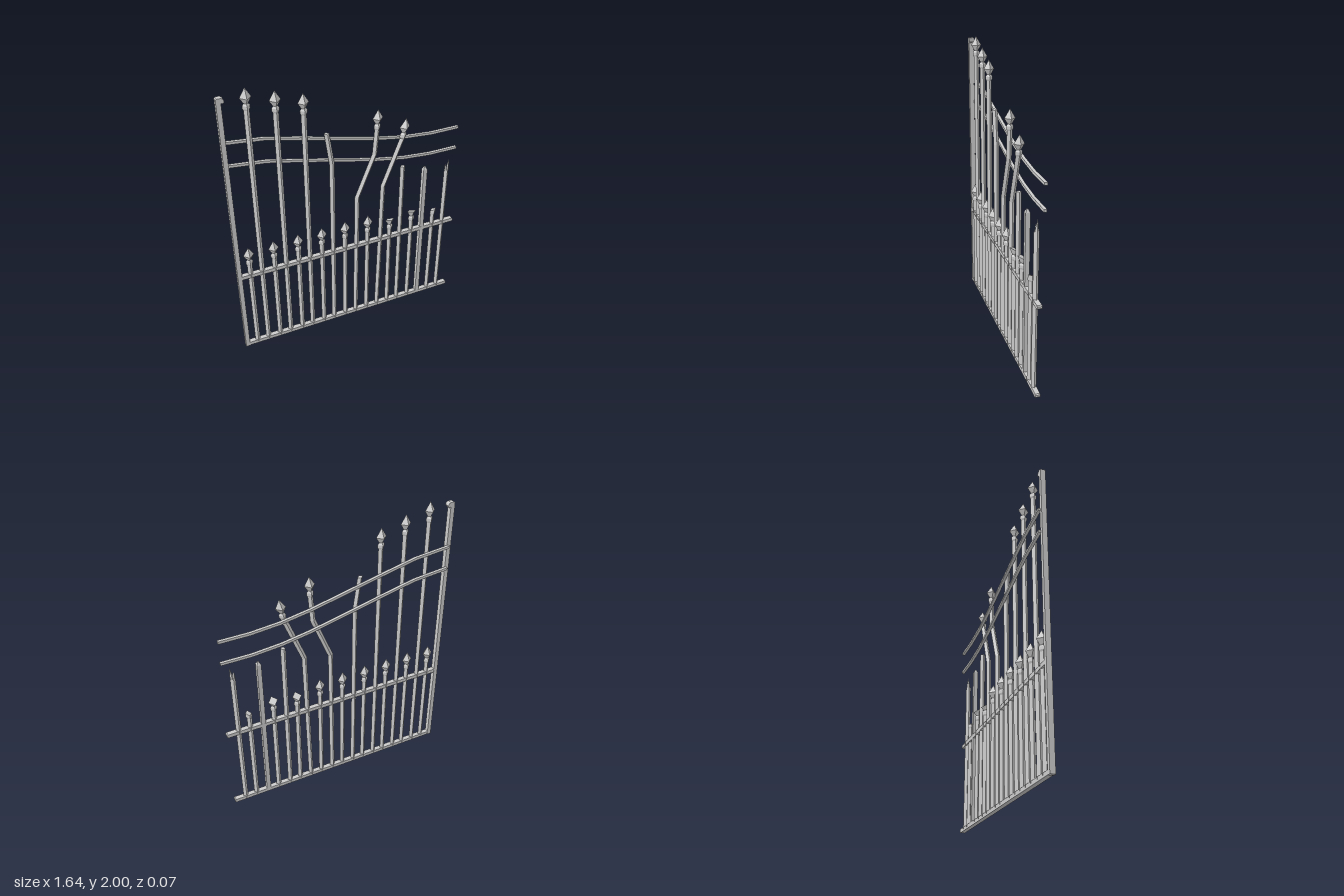
import * as THREE from 'three';

const metal = new THREE.MeshStandardMaterial({ color: 0xcccccc, flatShading: true });
const BAR = 0.018;

// Four-sided loft through rings { x, y, r, tx, tz }; tx and tz slope the ring along x and z.
function loft(rings, yaw = 0) {
  const pts = [];
  const corners = rings.map(({ x, y, r, tx = 0, tz = 0 }) => [0, 1, 2, 3].map(i => {
    const a = yaw + i * Math.PI / 2;
    const dx = r * Math.sin(a), dz = r * Math.cos(a);
    return [x + dx, y + dx * tx + dz * tz, dz];
  }));
  const quad = (a, b, c, d) => pts.push(...a, ...b, ...c, ...a, ...c, ...d);
  for (let k = 0; k + 1 < corners.length; k++) {
    const lo = corners[k], hi = corners[k + 1];
    for (let i = 0; i < 4; i++) {
      const j = (i + 1) % 4;
      quad(lo[i], lo[j], hi[j], hi[i]);
    }
  }
  const first = corners[0], last = corners[corners.length - 1];
  quad(first[3], first[2], first[1], first[0]);
  quad(last[0], last[1], last[2], last[3]);
  const g = new THREE.BufferGeometry();
  g.setAttribute('position', new THREE.Float32BufferAttribute(pts, 3));
  g.computeVertexNormals();
  return g;
}

// Collar, neck and spear head: [height above the bar end, radius]
const FINIAL = [[0, BAR], [0.012, 0.024], [0.03, 0.024], [0.043, 0.014], [0.08, 0.036], [0.14, 0.001]];

const finial = (x, y, lean = 0, count = FINIAL.length) =>
  FINIAL.slice(0, count).map(([h, r]) => ({ x: x + h * lean, y: y + h, r }));

const ring = (x, y, extra = {}) => ({ x, y, r: BAR, ...extra });

// Flat outline given thickness in z, centred on zMid
function plate(outline, depth, zMid) {
  const shape = new THREE.Shape(outline.map(([x, y]) => new THREE.Vector2(x, y)));
  const g = new THREE.ExtrudeGeometry(shape, { depth, bevelEnabled: false });
  return g.translate(0, 0, zMid - depth / 2);
}

export function createModel() {
  const gate = new THREE.Group();
  gate.name = 'brokenIronGate';
  const add = (name, geometry) => {
    const mesh = new THREE.Mesh(geometry, metal);
    mesh.name = name;
    gate.add(mesh);
  };

  // Hinge post with a small hooked top
  add('hingePost', plate([
    [-0.82, 0], [-0.79, 0], [-0.79, 1.945], [-0.785, 1.935], [-0.775, 1.938],
    [-0.77, 1.95], [-0.775, 1.962], [-0.787, 1.97], [-0.813, 1.97], [-0.82, 1.963],
  ], 0.034, 0));

  // Straight rails with chamfered free ends
  for (const [name, y] of [['bottomRail', 0.002], ['middleRail', 0.625]]) {
    add(name, plate([
      [-0.795, y], [0.81, y], [0.817, y + 0.007], [0.817, y + 0.02],
      [0.81, y + 0.027], [-0.795, y + 0.027],
    ], 0.032, 0));
  }

  // Two sagging rails behind the pickets
  const sag = [[-0.8, 1.663], [-0.55, 1.636], [-0.3, 1.578], [0, 1.504],
    [0.2, 1.457], [0.4, 1.421], [0.6, 1.403], [0.805, 1.403]];
  for (const [name, drop] of [['upperCurvedRail', 0], ['lowerCurvedRail', 0.16]]) {
    const top = sag.map(([x, y]) => [x, y - drop + 0.009]);
    const under = sag.map(([x, y]) => [x, y - drop - 0.009]).reverse();
    add(name, plate([...under.reverse(), ...top.reverse()], 0.02, -0.024));
  }

  // Intact short pickets
  for (let i = 0; i < 6; i++) {
    const x = -0.727 + i * 0.1717;
    add('shortPicket', loft([ring(x, 0.015), ...finial(x, 0.73)]));
  }

  // Short pickets whose heads have snapped off at a slant
  for (const [x, y, cut, tx] of [[0.303, 0.705, 0.08, 0.05], [0.475, 0.727, 0.08, -0.1]]) {
    add('snappedShortPicket', loft([ring(x, 0.015), ...finial(x, y, 0, 4),
      { x, y: y + cut, r: 0.034, tx, tz: 0.45 }]));
  }
  add('snappedShortPicket', loft([ring(0.648, 0.015), ring(0.648, 0.73),
    { x: 0.65, y: 0.742, r: 0.023 }, { x: 0.652, y: 0.77, r: 0.022, tx: 0.35, tz: 0.35 }]));

  // Intact tall pickets stepping down from the post
  for (let i = 0; i < 3; i++) {
    const x = -0.646 + i * 0.1717;
    add('tallPicket', loft([ring(x, 0.015), ...finial(x, 1.86 - i * 0.053)]));
  }

  // Bent tall pickets
  add('bentHeadlessPicket', loft([ring(-0.13, 0.015), ring(-0.128, 1.36),
    ring(-0.16, 1.59, { tx: -0.2 })]));
  add('bentPicket', loft([ring(0.042, 0.015), ring(0.05, 1.05, { tx: -0.2 }),
    ring(0.172, 1.36, { tx: -0.2 }), ...finial(0.185, 1.54, 0.04)]));
  add('bentPicket', loft([ring(0.217, 0.015), ring(0.24, 1.09, { tx: -0.2 }),
    ring(0.366, 1.42, { tx: -0.3 }), ...finial(0.372, 1.432, 0.15)]));

  // Headless tall pickets
  add('cutPicket', loft([ring(0.384, 0.015), ring(0.384, 1.21)]));
  add('wornPicket', loft([ring(0.558, 0.015, { r: 0.022 }), ring(0.556, 1.14, { r: 0.021 }),
    ring(0.556, 1.162, { r: 0.007 })], Math.PI / 4));

  // Last picket, torn into two splinters
  add('tornPicket', loft([ring(0.731, 0.015), ring(0.731, 1.09)]));
  add('tornSplinter', loft([{ x: 0.737, y: 1.08, r: 0.012 }, { x: 0.739, y: 1.12, r: 0.009 },
    { x: 0.746, y: 1.172, r: 0.001 }]));
  add('tornSplinter', loft([{ x: 0.727, y: 1.08, r: 0.013 }, { x: 0.721, y: 1.132, r: 0.004 }]));

  return gate;
}
